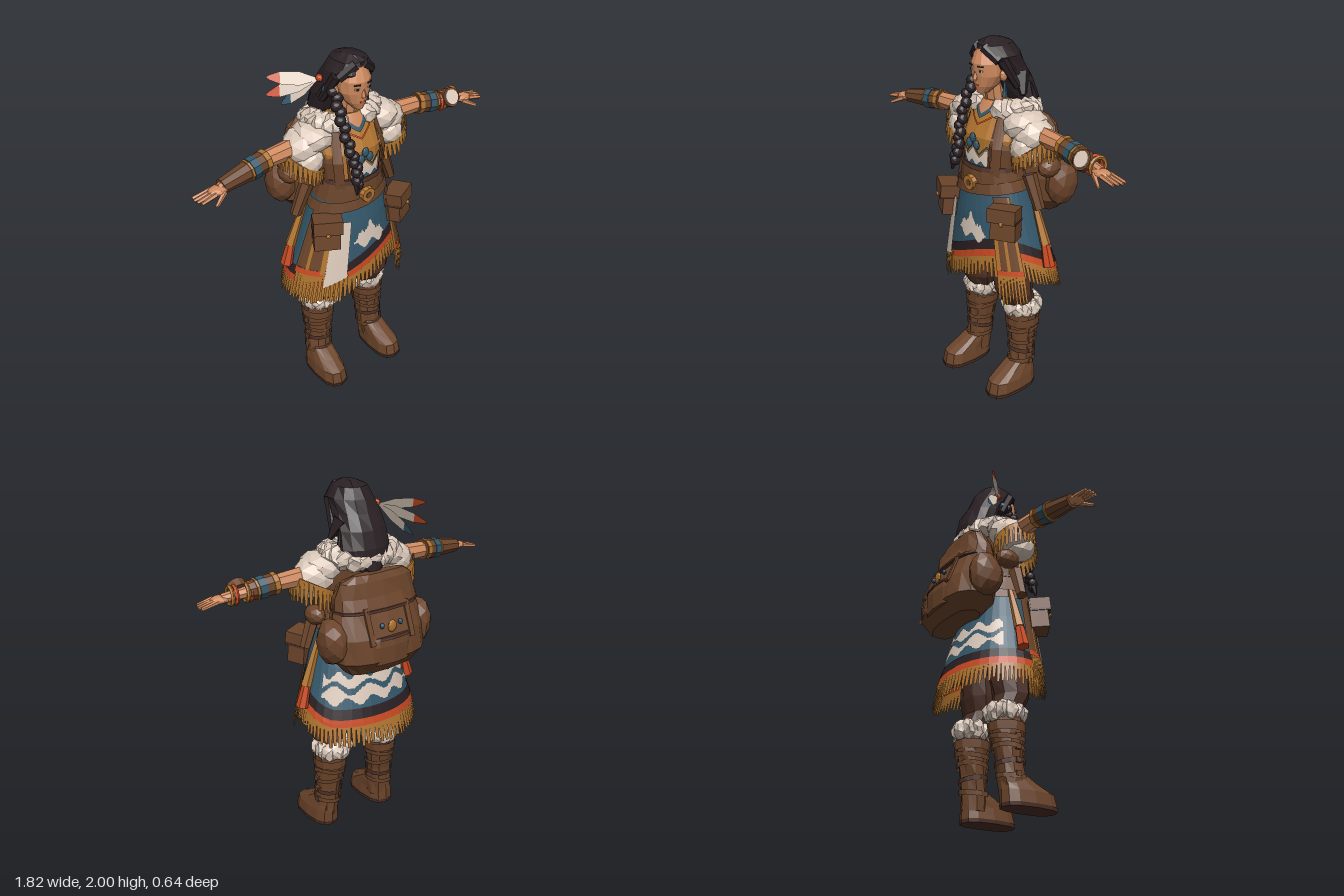
import * as THREE from 'three';

const V = (x, y, z) => new THREE.Vector3(x, y, z);
const { sin, cos, PI, max, abs, sign, round } = Math;
let seed = 7;
const rnd = () => (seed = (seed * 16807) % 2147483647) / 2147483647;

const mat = (name, color) => new THREE.MeshStandardMaterial({ name, color, flatShading: true, side: THREE.DoubleSide });
const hair = mat('dark hair', 0x2a2023), skin = mat('skin', 0xcf8a5f), leather = mat('leather', 0x6c452b),
  darkLeather = mat('dark leather', 0x4e3127), fur = mat('cream fur', 0xdccabb), ochre = mat('ochre hide', 0xb0742f),
  teal = mat('teal cloth', 0x34586b), red = mat('red orange', 0xc94a22);

// Polygons (3 or 4 corners each) to one geometry
function polys(list) {
  const pos = [];
  for (const f of list) for (let i = 1; i < f.length - 1; i++) for (const p of [f[0], f[i], f[i + 1]]) pos.push(p.x, p.y, p.z);
  const g = new THREE.BufferGeometry();
  g.setAttribute('position', new THREE.Float32BufferAttribute(pos, 3));
  g.computeVertexNormals();
  return g;
}
// Surface through rows [y, centreX, centreZ, radiusX, radiusZ], top row first; angle 0 is the front
function surf(rows, pw = 1) {
  const f = q => sign(q) * abs(q) ** pw;
  return (th, y, o = 0) => {
    let i = 0;
    while (i < rows.length - 2 && y < rows[i + 1][0]) i++;
    const k = (rows[i][0] - y) / (rows[i][0] - rows[i + 1][0]);
    const v = rows[i].map((q, j) => q + (rows[i + 1][j] - q) * k);
    return V(v[1] + (v[3] + o) * f(sin(th)), y, v[2] + (v[4] + o) * f(cos(th)));
  };
}
function loft(rows, n = 12, pw = 1, rough = 0) {
  const F = surf(rows, pw), faces = [];
  const rings = rows.map(r => Array.from({ length: n }, (_, j) => F(j / n * 2 * PI, r[0], rough * (rnd() - 0.5))));
  rings.forEach((R, i) => {
    for (let j = 0; j < n; j++) {
      const k = (j + 1) % n, N = rings[i + 1], c = V(rows[i][1], rows[i][0], rows[i][2]);
      if (N) faces.push([R[j], N[j], N[k], R[k]]);
      if (i === 0) faces.push([c, R[j], R[k]]);
      if (!N) faces.push([c, R[k], R[j]]);
    }
  });
  return polys(faces);
}
// Thin patch lying on a surface, between two heights that may vary with angle
function strip(F, t0, t1, lo, hi, n = 12, o = 0.004) {
  const L = q => (typeof q === 'function' ? q : () => q), l = L(lo), h = L(hi), faces = [];
  for (let i = 0; i < n; i++) {
    const a = t0 + (t1 - t0) * i / n, b = t0 + (t1 - t0) * (i + 1) / n;
    const am = (l(a) + h(a)) / 2, bm = (l(b) + h(b)) / 2;
    faces.push([F(a, h(a), o), F(a, am, o), F(b, bm, o), F(b, h(b), o)], [F(a, am, o), F(a, l(a), o), F(b, l(b), o), F(b, bm, o)]);
  }
  return polys(faces);
}
function fringe(n, top, bot) {
  const faces = [];
  for (let i = 0; i < n; i++) {
    const t = i / n, k = 0.75 + 0.35 * rnd(), at = u => top(u).lerp(bot(u), k);
    faces.push([top(t), at(t + 0.2 / n), at(t + 0.75 / n), top(t + 1 / n)]);
  }
  return polys(faces);
}
function limb(a, b, ra, rb, n = 8) {
  const d = V(...b).sub(V(...a)), g = new THREE.CylinderGeometry(rb, ra, d.length(), n);
  g.applyQuaternion(new THREE.Quaternion().setFromUnitVectors(V(0, 1, 0), d.clone().normalize()));
  return g.translate((a[0] + b[0]) / 2, (a[1] + b[1]) / 2, (a[2] + b[2]) / 2);
}
function blob(c, r, rough = 0, detail = 1) {
  const g = new THREE.IcosahedronGeometry(1, detail), p = g.attributes.position;
  for (let i = 0; i < p.count; i++) {
    const [x, y, z] = [p.getX(i), p.getY(i), p.getZ(i)].map(q => round(q * 100));
    const h = abs(sin(x * 12.9 + y * 78.2 + z * 37.7 + c[0] * 50) * 4375.5) % 1, k = 1 + rough * (h - 0.5);
    p.setXYZ(i, c[0] + p.getX(i) * r[0] * k, c[1] + p.getY(i) * r[1] * k, c[2] + p.getZ(i) * r[2] * k);
  }
  g.computeVertexNormals();
  return g;
}
const box = (c, s, ry = 0, rx = 0) => new THREE.BoxGeometry(...s).rotateX(rx).rotateY(ry).translate(...c);

export function createModel() {
  seed = 7;
  const model = new THREE.Group();
  const add = (name, m, ...geos) => geos.forEach(g => { const q = new THREE.Mesh(g, m); q.name = name; model.add(q); });

  // Tunic body, neckline and vest
  const torsoRows = [[1.68, 0, 0.05, 0.09, 0.08], [1.6, 0, 0.06, 0.19, 0.11], [1.5, 0, 0.09, 0.2, 0.135], [1.36, 0, 0.1, 0.17, 0.13], [1.2, 0, 0.09, 0.17, 0.13]];
  const T = surf(torsoRows), zig = (base, amp, f) => th => base + amp * abs(((th * f + 40) % 1) - 0.5);
  add('tunic', ochre, loft(torsoRows, 16));
  add('tunicPattern', fur, strip(T, -0.45, 0.55, 1.34, zig(1.395, 0.1, 2), 24, 0.005));
  add('tunicBorder', teal, strip(T, -0.45, 0.55, 1.33, zig(1.35, 0.06, 3), 24, 0.009), strip(T, -0.45, 0.55, zig(1.405, 0.1, 2), zig(1.418, 0.1, 2), 24, 0.007));
  add('neckOpening', skin, strip(T, -0.4, 0.4, th => 1.6 + 0.12 * abs(th), 1.68, 8, 0.005));
  add('necklace', teal, strip(T, -0.5, 0.5, th => 1.59 + 0.12 * abs(th), th => 1.612 + 0.12 * abs(th), 8, 0.01));
  add('beadString', red, strip(T, -0.5, 0.5, th => 1.555 + 0.12 * abs(th), th => 1.565 + 0.12 * abs(th), 8, 0.008));
  add('vestBack', leather, strip(T, 0.9, 2 * PI - 0.9, 1.3, 1.6, 14, 0.008));
  add('vestSeam', darkLeather, strip(T, -0.56, -0.48, 1.34, 1.6, 3, 0.008), strip(T, 0.56, 0.64, 1.34, 1.6, 3, 0.008));
  for (const [x, y] of [[0, 1.495], [-0.028, 1.46], [0.028, 1.46]]) add('pendant', teal, blob([x, y, 0.232], [0.022, 0.028, 0.012]));

  // Skirt with slanted hem, stripes, cloud pattern and fringe
  const S = surf([[1.3, 0, 0.09, 0.18, 0.145], [1.1, 0, 0.07, 0.245, 0.19], [0.75, 0, 0.035, 0.35, 0.248], [0.58, 0, 0.02, 0.38, 0.27]]);
  const hem = th => 0.715 + 0.16 * max(0, cos(th - 0.75)) ** 1.5, up = d => th => hem(th) + d;
  add('skirt', teal, strip(S, -PI, PI, up(0.07), 1.28, 36, 0));
  add('skirtDarkStripe', hair, strip(S, -PI, PI, up(0.035), up(0.095), 36, 0.004));
  add('skirtRedStripe', red, strip(S, -PI, PI, hem, up(0.04), 36, 0.007));
  for (const o of [0, 0.005]) add('skirtFringe', ochre, fringe(80, t => S(t * 2 * PI, hem(t * 2 * PI) + 0.005, o), t => S(t * 2 * PI, hem(t * 2 * PI) - 0.11, o)));
  const cloud = (base, amp, f) => th => base + amp * round(2 * sin(th * f)) / 2;
  add('cloudPattern', fur, strip(S, 2.0, 4.28, cloud(0.85, 0.02, 13), cloud(0.91, 0.025, 9), 80), strip(S, 2.0, 4.28, cloud(0.94, 0.02, 9), cloud(0.99, 0.02, 14), 80),
    strip(S, -0.32, 0.44, cloud(0.945, 0.02, 18), th => 1.07 - 0.24 * abs(round((th - 0.05) * 12) / 12) + 0.015 * round(sin(th * 25)), 40));
  add('creamPanel', fur, strip(S, -0.8, -0.42, th => 0.72 + 0.15 * (th + 0.8), 1.12, 6, 0.022));
  add('sidePanel', leather, strip(S, -1.45, -0.8, 0.82, 1.2, 6, 0.014), strip(S, 0.68, 1.05, 0.8, 1.2, 5, 0.014));
  add('sidePanelEdge', ochre, strip(S, 1.05, 1.12, 0.8, 1.2, 3, 0.014), strip(S, 0.62, 0.7, 0.8, 1.15, 3, 0.016), strip(S, 0.82, 0.88, 0.8, 1.15, 3, 0.017), strip(S, -0.9, -0.8, 0.8, 1.15, 3, 0.018), strip(S, -1.2, -1.13, 0.82, 1.15, 3, 0.017));
  add('sidePanelRedEdge', red, strip(S, 0.62, 1.12, 0.77, 0.8, 4, 0.015), strip(S, -1.45, -0.8, 0.785, 0.82, 5, 0.015));
  for (const o of [0.013, 0.019]) add('panelFringe', ochre, fringe(14, t => S(-1.4 + t, 0.79, o), t => S(-1.4 + t, 0.63, o)), fringe(9, t => S(0.62 + t * 0.5, 0.775, o), t => S(0.62 + t * 0.5, 0.62, o)));

  // Belts, buckle
  add('belt', leather, loft([[1.345, 0, 0.1, 0.18, 0.142], [1.28, 0, 0.095, 0.195, 0.152], [1.22, 0, 0.085, 0.21, 0.165]], 16));
  add('beltEdge', darkLeather, loft([[1.35, 0, 0.1, 0.183, 0.145], [1.325, 0, 0.1, 0.188, 0.15]], 16));
  add('lowBelt', leather, strip(S, -PI, PI, th => 1.19 + 0.03 * sin(th), th => 1.25 + 0.03 * sin(th), 20, 0.018));
  add('buckle', ochre, limb([0, 1.25, 0.24], [0, 1.25, 0.268], 0.045, 0.04, 10));
  add('buckleCentre', leather, limb([0, 1.25, 0.26], [0, 1.25, 0.272], 0.02, 0.018, 8));

  // Head and face
  add('neck', skin, limb([0, 1.58, 0.06], [0, 1.78, 0.09], 0.055, 0.05));
  add('face', skin, loft([[1.955, 0, 0.12, 0.055, 0.068], [1.885, 0, 0.115, 0.09, 0.1], [1.82, 0, 0.12, 0.088, 0.09], [1.765, 0, 0.135, 0.06, 0.068], [1.725, 0, 0.155, 0.025, 0.035]], 14));
  add('nose', skin, limb([0, 1.8, 0.212], [0, 1.865, 0.2], 0.014, 0.006, 4));
  add('mouth', red, box([0, 1.772, 0.202], [0.03, 0.008, 0.005]));
  for (const s of [-1, 1]) {
    add('eye', fur, box([s * 0.037, 1.85, 0.204], [0.026, 0.008, 0.006], s * 0.35));
    add('iris', hair, box([s * 0.037, 1.85, 0.208], [0.012, 0.01, 0.004], s * 0.35));
    add('brow', hair, box([s * 0.038, 1.873, 0.206], [0.034, 0.006, 0.006], s * 0.35));
    add('ear', skin, blob([s * 0.1, 1.825, 0.105], [0.016, 0.032, 0.024]));
    add('earring', teal, limb([s * 0.102, 1.71, 0.1], [s * 0.102, 1.79, 0.1], 0.016, 0.006, 5));
    add('sideLock', hair, limb([s * 0.02, 1.965, 0.165], [s * 0.1, 1.9, 0.135], 0.03, 0.024, 6), limb([s * 0.1, 1.91, 0.12], [s * 0.135, 1.76, 0.04], 0.03, 0.02, 6));
  }

  // Hair, braid and feathers
  add('hair', hair, loft([[2, 0, 0.09, 0.03, 0.04], [1.975, 0, 0.085, 0.085, 0.095], [1.92, 0, 0.07, 0.125, 0.122], [1.85, 0, 0.025, 0.132, 0.11],
    [1.77, 0, -0.02, 0.145, 0.105], [1.68, 0, -0.055, 0.155, 0.1], [1.62, 0, -0.09, 0.13, 0.07], [1.56, 0.01, -0.12, 0.06, 0.04]], 14, 1, 0.018));
  add('looseLock', hair, limb([0.11, 1.82, 0], [0.165, 1.72, 0.03], 0.05, 0.015, 5), limb([0.1, 1.76, -0.03], [0.15, 1.65, -0.04], 0.05, 0.02, 5));
  const braid = new THREE.CatmullRomCurve3([V(-0.1, 1.82, 0.1), V(-0.11, 1.7, 0.17), V(-0.1, 1.55, 0.23), V(-0.08, 1.44, 0.265), V(-0.09, 1.36, 0.285)]);
  for (let i = 0; i < 16; i++) {
    const p = braid.getPoint(i / 15);
    add('braid', hair, blob([p.x + (i % 2 ? 0.008 : -0.008), p.y, p.z], [0.034 - i * 0.0007, 0.032, 0.03]));
  }
  add('braidTail', hair, limb([-0.09, 1.36, 0.285], [-0.1, 1.305, 0.295], 0.025, 0.006, 6));
  [[-0.345, 1.87, -0.14, red], [-0.34, 1.76, -0.16, red], [-0.27, 1.7, -0.13, teal]].forEach(([x, y, z, tip]) => {
    const a = V(-0.14, 1.86, 0.01), b = V(x, y, z), w = V(0.008, 0.031, -0.014);
    const at = (k, q) => a.clone().lerp(b, k).addScaledVector(w, q);
    add('feather', fur, polys([[at(0, 0.2), at(0, -0.2), at(0.35, -1), at(0.35, 1)], [at(0.35, 1), at(0.35, -1), at(0.72, -0.9), at(0.72, 0.9)]]));
    add('featherTip', tip, polys([[at(0.72, 0.9), at(0.72, -0.9), at(0.93, -0.35), at(1, 0)], [at(0.72, 0.9), at(1, 0), at(0.93, 0.35)]]));
  });
  add('featherBead', red, blob([-0.135, 1.87, 0.02], [0.016, 0.02, 0.022]));
  add('hairBeads', teal, blob([-0.125, 1.82, 0.06], [0.018, 0.024, 0.02]));

  // Fur collar, lower at the nape under the hair
  for (let i = 0; i < 19; i++) {
    const th = 0.5 + i / 18 * (2 * PI - 1), c = cos(th);
    add('furCollar', fur, blob([0.176 * sin(th), 1.65 + (c < 0 ? 0.035 : -0.01) * c, 0.01 + 0.125 * c], [0.06, 0.056, 0.05], 0.38));
  }

  for (const s of [-1, 1]) {
    // Shoulder fur and fringe
    add('shoulderFur', fur, blob([s * 0.26, 1.54, 0.045], [0.115, 0.095, 0.115], 0.1), blob([s * 0.21, 1.58, 0.05], [0.11, 0.08, 0.125], 0.12), blob([s * 0.255, 1.48, 0.09], [0.08, 0.085, 0.085], 0.1));
    const ringTop = (t, o) => V(s * (0.268 + (0.12 - o) * cos(t)), 1.5 + 0.06 * cos(t) - 0.05 * max(0, sin(t)), 0.045 + (0.12 - o) * sin(t));
    for (const o of [0, 0.008]) add('shoulderFringe', ochre, fringe(30, t => ringTop(t * 2 * PI, o),
      t => V(s * (0.278 + 0.115 * cos(t * 2 * PI)), 1.37 + 0.06 * cos(t * 2 * PI), 0.045 + 0.125 * sin(t * 2 * PI))));
    // Pack strap
    add('packStrap', leather, strip(T, s * 0.65, s * 0.95, 1.3, 1.62, 3, 0.018));

    // Arm, bracer and hand
    add('arm', skin, limb([s * 0.2, 1.55, 0.04], [s * 0.48, 1.54, 0.05], 0.058, 0.046), limb([s * 0.48, 1.54, 0.05], [s * 0.78, 1.505, 0.09], 0.043, 0.026));
    const along = x => [s * x, 1.54 - (x - 0.48) * 0.115, 0.05 + (x - 0.48) * 0.12];
    const end = s < 0 ? 0.76 : 0.64;
    add('bracer', leather, limb(along(0.48), along(0.6), 0.057, 0.056, 9), limb(along(0.6), along(end), 0.053, s < 0 ? 0.04 : 0.05, 9));
    add('bracerTrim', ochre, limb(along(0.485), along(0.51), 0.06, 0.06, 9), limb(along(0.595), along(0.605), 0.06, 0.059, 9));
    add('bracerBand', teal, limb(along(0.55), along(0.59), 0.06, 0.06, 9));
    add('palm', skin, blob([s * 0.785, 1.503, 0.095], [0.055, 0.022, 0.042]));
    for (let i = 0; i < 4; i++) {
      const z = 0.066 + i * 0.02, tip = 0.885 + 0.025 * sin(1 + i * 0.6);
      add('finger', skin, limb([s * 0.81, 1.503, z], [s * tip, 1.485, z + (i - 1.5) * 0.004], 0.013, 0.009, 5));
    }
    add('thumb', skin, limb([s * 0.765, 1.5, 0.125], [s * 0.835, 1.465, 0.165], 0.015, 0.009, 5));

    // Hip pouches, flaps and tassels
    const px = s * 0.235, ry = s * 0.5;
    add('pouch', leather, box([px, 1.08, 0.21], [0.14, 0.17, 0.1], ry, -0.1));
    add('pouchFlap', leather, box([px, 1.135, 0.22], [0.155, 0.075, 0.112], ry, -0.1));
    add('pouchTrim', darkLeather, box([px, 1.1, 0.218], [0.158, 0.012, 0.116], ry, -0.1));
    add('pouchStud', ochre, blob([px + s * 0.03, 1.1, 0.272], [0.012, 0.014, 0.012]));
    add('hipRoll', leather, blob([s * 0.305, 1.35, -0.03], [0.05, 0.055, 0.07]));
    add('hipSheath', leather, limb([s * 0.25, 1.32, 0.06], [s * 0.32, 1.14, 0.05], 0.04, 0.03, 6));
    add('tasselCord', ochre, limb([s * 0.24, 1.2, 0.03], [s * 0.34, 0.93, 0.02], 0.015, 0.03, 5));
    add('tassel', red, limb([s * 0.335, 0.94, 0.02], [s * 0.37, 0.81, 0.02], 0.024, 0.034, 6));

    // Trousers, fur cuffs and boots
    add('trouserLeg', darkLeather, loft([[1, s * 0.09, 0.05, 0.1, 0.13], [0.8, s * 0.13, 0.065, 0.115, 0.125], [0.68, s * 0.15, 0.075, 0.115, 0.11], [0.6, s * 0.155, 0.08, 0.115, 0.1], [0.5, s * 0.165, 0.04, 0.085, 0.085]], 10, 1, 0.02));
    for (let i = 0; i < 11; i++) {
      const th = i / 11 * 2 * PI;
      add('furCuff', fur, blob([s * 0.168 + 0.075 * sin(th), 0.5, 0.03 + 0.08 * cos(th)], [0.042, 0.055, 0.042], 0.35));
    }
    const shaft = [[0.47, s * 0.175, 0.035, 0.09, 0.095], [0.38, s * 0.178, 0.035, 0.083, 0.088], [0.25, s * 0.183, 0.045, 0.07, 0.072], [0.15, s * 0.188, 0.055, 0.07, 0.073], [0.06, s * 0.192, 0.06, 0.07, 0.072]];
    add('bootShaft', leather, loft(shaft, 10, 1, 0.012));
    add('bootFoot', leather, loft([[0.17, s * 0.19, 0.06, 0.06, 0.065], [0.125, s * 0.194, 0.1, 0.068, 0.11], [0.085, s * 0.2, 0.138, 0.074, 0.152], [0.02, s * 0.2, 0.145, 0.08, 0.16]], 12, 0.75));
    add('bootSole', darkLeather, loft([[0.02, s * 0.2, 0.147, 0.083, 0.163], [0, s * 0.2, 0.147, 0.08, 0.16]], 12, 0.75));
    const B = surf(shaft);
    [0.15, 0.22, 0.29, 0.35].forEach((y, i) => {
      const tilt = th => y + 0.012 * sin(th + i * 2);
      add('bootStrap', i === 1 ? darkLeather : leather, strip(B, -PI, PI, tilt, th => tilt(th) + 0.026, 12, 0.01));
      add('bootBuckle', leather, box([s * 0.258, y + 0.015, 0.05], [0.02, 0.026, 0.03]));
    });
    add('bootTop', leather, strip(B, -PI, PI, 0.39, 0.44, 12, 0.01));

    // Pack side pockets
    add('packSidePocket', leather, blob([s * 0.28, 1.23, -0.15], [0.08, 0.13, 0.1], 0.12));
    add('packSideStrap', leather, box([s * 0.13, 1.31, -0.272], [0.03, 0.2, 0.012], 0, 0.36));
  }

  // Backpack
  add('packBody', leather, loft([[1.5, 0, -0.11, 0.21, 0.085], [1.42, 0, -0.12, 0.25, 0.105], [1.25, 0, -0.155, 0.285, 0.148], [1.12, 0, -0.17, 0.28, 0.145], [1.04, 0, -0.175, 0.21, 0.085]], 16, 0.82, 0.012));
  add('packLid', leather, loft([[1.565, 0, -0.165, 0.16, 0.025], [1.53, 0, -0.145, 0.22, 0.068], [1.45, 0, -0.13, 0.25, 0.1], [1.38, 0, -0.138, 0.258, 0.12]], 16, 0.82, 0.012));
  add('packLidEdge', darkLeather, loft([[1.39, 0, -0.139, 0.26, 0.122], [1.375, 0, -0.14, 0.26, 0.124]], 16, 0.82));
  add('packPocket', leather, loft([[1.24, 0, -0.2, 0.17, 0.115], [1.2, 0, -0.2, 0.18, 0.122], [1.1, 0, -0.2, 0.17, 0.12]], 14, 0.8));
  add('packPocketFlap', darkLeather, loft([[1.25, 0, -0.2, 0.17, 0.117], [1.235, 0, -0.2, 0.178, 0.122]], 14, 0.8));
  add('packEmblem', ochre, blob([0, 1.3, -0.295], [0.028, 0.035, 0.012]));
  add('packBead', teal, blob([-0.06, 1.31, -0.288], [0.014, 0.016, 0.012]), blob([0.06, 1.31, -0.288], [0.014, 0.016, 0.012]));

  // Wrist compass on the left arm
  add('compassCase', leather, limb([0.68, 1.525, 0.085], [0.68, 1.548, 0.125], 0.054, 0.054, 12));
  add('compassFace', fur, limb([0.68, 1.545, 0.121], [0.68, 1.551, 0.13], 0.043, 0.043, 12));
  [0.63, 0.65, 0.715, 0.74].forEach((x, i) => add('wristCord', i % 2 ? ochre : red, new THREE.TorusGeometry(0.046, 0.011, 5, 12).rotateY(PI / 2 - 0.15).translate(x, 1.518, 0.073)));
  return model;
}
